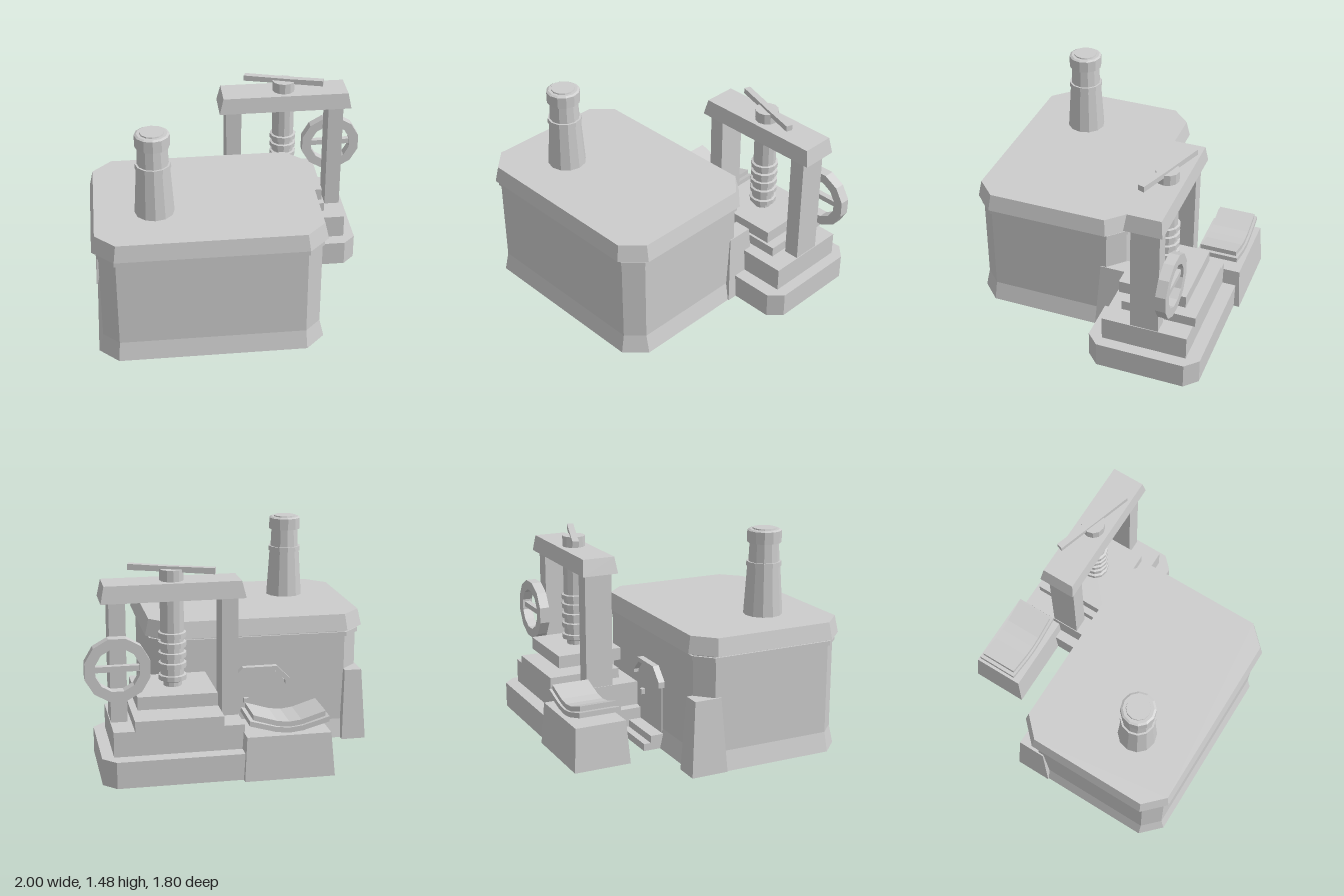
import * as THREE from 'three';

const stone = new THREE.MeshStandardMaterial({ color: 0xcccccc, flatShading: true, side: THREE.DoubleSide });
stone.name = 'plain grey';

function add(parent, name, geometry, x = 0, y = 0, z = 0) {
  const mesh = new THREE.Mesh(geometry, stone);
  mesh.name = name;
  mesh.position.set(x, y, z);
  parent.add(mesh);
  return mesh;
}

// Block given by its limits
function box(parent, name, x0, x1, y0, y1, z0, z1) {
  return add(parent, name, new THREE.BoxGeometry(x1 - x0, y1 - y0, z1 - z0),
    (x0 + x1) / 2, (y0 + y1) / 2, (z0 + z1) / 2);
}

// Shell through rectangular sections [y, x0, x1, z0, z1, cornerCut], with optional caps
function loft(sections, bottomCap = true, topCap = true) {
  const rings = sections.map(([y, x0, x1, z0, z1, c = 0]) => {
    const p = c
      ? [[x0 + c, z1], [x1 - c, z1], [x1, z1 - c], [x1, z0 + c], [x1 - c, z0], [x0 + c, z0], [x0, z0 + c], [x0, z1 - c]]
      : [[x0, z1], [x1, z1], [x1, z0], [x0, z0]];
    return p.map(([x, z]) => [x, y, z]);
  });
  const n = rings[0].length, last = rings[rings.length - 1], v = [];
  const tri = (a, b, c) => v.push(...a, ...b, ...c);
  for (let r = 0; r < rings.length - 1; r++) {
    for (let i = 0; i < n; i++) {
      const j = (i + 1) % n, a = rings[r], b = rings[r + 1];
      tri(a[i], a[j], b[j]);
      tri(a[i], b[j], b[i]);
    }
  }
  for (let i = 1; i < n - 1; i++) {
    if (topCap) tri(last[0], last[i], last[i + 1]);
    if (bottomCap) tri(rings[0][0], rings[0][i + 1], rings[0][i]);
  }
  const g = new THREE.BufferGeometry();
  g.setAttribute('position', new THREE.Float32BufferAttribute(v, 3));
  g.computeVertexNormals();
  return g;
}

function polygon(points) {
  return new THREE.Shape(points.map(([x, y]) => new THREE.Vector2(x, y)));
}

const extrude = (shape, depth) => new THREE.ExtrudeGeometry(shape, { depth, bevelEnabled: false });

// Flat pane with cut corners, centred
function pane(w, h, c) {
  const a = w / 2, b = h / 2;
  return new THREE.ShapeGeometry(polygon([[-a + c, -b], [a - c, -b], [a, -b + c], [a, b - c],
    [a - c, b], [-a + c, b], [-a, b - c], [-a, -b + c]]));
}

function lathe(profile, sides) {
  return new THREE.LatheGeometry(profile.map(([r, y]) => new THREE.Vector2(r, y)), sides);
}

function buildHouse() {
  const house = new THREE.Group();
  house.name = 'house';
  // Hollow flared skirt below closed walls
  add(house, 'skirt', loft([
    [0, -0.99, 0.527, -0.22, 0.89, 0.13],
    [0.13, -0.958, 0.497, -0.19, 0.863, 0.107],
  ], false, false));
  add(house, 'walls', loft([
    [0.13, -0.958, 0.497, -0.19, 0.863, 0.107],
    [0.79, -0.958, 0.497, -0.19, 0.863, 0.107],
  ]));
  add(house, 'trimBand', loft([
    [0.74, -0.971, 0.51, -0.203, 0.875, 0.11],
    [0.77, -0.971, 0.51, -0.203, 0.875, 0.11],
  ]));
  add(house, 'roof', loft([
    [0.786, -1, 0.536, -0.23, 0.9, 0.14],
    [0.9, -0.975, 0.51, -0.207, 0.88, 0.13],
  ]));

  // Chimney
  add(house, 'chimney', lathe([[0, 0.89], [0.132, 0.89], [0.11, 1.228], [0.118, 1.228], [0.116, 1.26],
    [0.103, 1.26], [0.097, 1.388], [0.114, 1.388], [0.114, 1.468], [0.1, 1.476], [0.08, 1.476],
    [0.078, 1.484], [0, 1.484]], 12), -0.576, 0, 0.482);

  // Corner buttresses at the back, mirrored about the middle of the house
  for (const s of [-1, 1]) {
    const mid = -0.2325, xs = (a, b) => [mid + s * a, mid + s * b].sort((p, q) => p - q);
    add(house, 'buttress', loft([
      [0, ...xs(0.597, 0.767), -0.265, -0.01],
      [0.5, ...xs(0.615, 0.735), -0.232, -0.045],
    ], false));
  }

  // Windows
  for (const s of [-1, 1]) {
    for (const z of [0.52, 0.15]) {
      const w = add(house, 'sideWindow', pane(0.212, 0.26, 0.045), s > 0 ? 0.5 : -0.961, 0.453, z);
      w.rotation.y = s * Math.PI / 2;
    }
  }
  const back = add(house, 'backWindow', pane(0.22, 0.26, 0.045), -0.675, 0.57, -0.193);
  back.rotation.y = Math.PI;

  // Back door with hood, knob and steps
  const door = new THREE.Group();
  door.name = 'door';
  door.position.set(-0.24, 0, -0.19);
  door.rotation.y = Math.PI;
  house.add(door);
  add(door, 'doorPanel', extrude(polygon([[-0.18, 0.08], [0.18, 0.08], [0.18, 0.45],
    [0.1, 0.53], [-0.1, 0.53], [-0.18, 0.45]]), 0.008));
  add(door, 'doorHood', extrude(polygon([[0.21, 0.43], [0.21, 0.47], [0.12, 0.56], [-0.12, 0.56],
    [-0.21, 0.47], [-0.21, 0.43], [-0.18, 0.43], [-0.18, 0.455], [-0.105, 0.53], [0.105, 0.53],
    [0.18, 0.455], [0.18, 0.43]]), 0.045));
  box(door, 'doorKnob', -0.11, -0.075, 0.3, 0.335, 0, 0.035);
  box(house, 'lowerStep', -0.442, -0.092, 0, 0.05, -0.34, -0.2);
  box(house, 'upperStep', -0.442, -0.092, 0.05, 0.1, -0.29, -0.18);
  return house;
}

function buildPress() {
  const press = new THREE.Group();
  press.name = 'press';
  const cx = 0.407, cz = -0.475;
  add(press, 'pressBase', loft([
    [0, -0.09, 0.912, -0.865, -0.083, 0.085],
    [0.178, -0.09, 0.912, -0.865, -0.083, 0.085],
  ], false));
  box(press, 'middleTier', -0.02, 0.834, 0.178, 0.345, -0.77, -0.18);
  box(press, 'pressBed', 0.117, 0.697, 0.345, 0.415, -0.785, -0.27);
  box(press, 'bedNeck', cx - 0.095, cx + 0.095, 0.415, 0.465, -0.57, -0.38);
  box(press, 'pressPlate', 0.147, 0.67, 0.465, 0.552, -0.707, -0.24);

  // Frame
  for (const s of [-1, 1]) {
    const x = cx + s * 0.368;
    box(press, 'column', x - 0.054, x + 0.054, 0.345, 1.16, -0.572, -0.377);
  }
  add(press, 'crossBeam', loft([
    [1.147, -0.063, 0.881, -0.605, -0.348],
    [1.26, -0.035, 0.858, -0.59, -0.363],
  ], false));

  // Screw with raised threads
  const profile = [[0, 0.54], [0.062, 0.54], [0.062, 0.58]];
  for (const y of [0.612, 0.695, 0.765, 0.835, 0.9]) {
    profile.push([0.078, y - 0.022], [0.094, y - 0.018], [0.094, y + 0.014], [0.078, y + 0.018]);
  }
  profile.push([0.08, 1.335], [0, 1.335]);
  add(press, 'screw', lathe(profile, 12), cx, 0, cz);

  // Slightly bent turning bar
  const bar = add(press, 'turningBar', extrude(polygon([[-0.285, 1.31], [0.04, 1.318], [0.285, 1.322],
    [0.285, 1.362], [0.04, 1.354], [-0.285, 1.35]]), 0.045).translate(0, 0, -0.0225), cx, 0, cz - 0.005);
  bar.rotation.y = -0.32;

  // Hand wheel
  const rim = new THREE.Shape(), hole = new THREE.Path();
  for (let i = 0; i < 12; i++) {
    const a = (i + 0.5) * Math.PI / 6, c = Math.cos(a), s = Math.sin(a);
    rim[i ? 'lineTo' : 'moveTo'](0.218 * c, 0.214 * s);
    hole[i ? 'lineTo' : 'moveTo'](0.148 * c, 0.146 * s);
  }
  rim.holes.push(hole);
  add(press, 'wheelRim', extrude(rim, 0.07), 0.789, 0.73, -0.675);
  box(press, 'wheelSpoke', 0.635, 0.943, 0.715, 0.753, -0.66, -0.62);
  return press;
}

function buildCrate() {
  const crate = new THREE.Group();
  crate.name = 'crate';
  add(crate, 'crateBody', loft([
    [0, -0.595, 0.005, -0.905, -0.51],
    [0.295, -0.57, -0.012, -0.885, -0.53],
  ], false));
  // Two bowed sheets lying on the crate
  const bowed = (half, low, thick) => {
    const top = [], under = [];
    for (let i = 0; i <= 6; i++) {
      const t = i / 3 - 1, y = low + 0.075 * Math.max(0, Math.abs(t) - 0.2);
      under.push([t * half, y]);
      top.unshift([t * half, y + thick]);
    }
    return polygon([...under, ...top]);
  };
  add(crate, 'lowerSheet', extrude(bowed(0.265, 0.3, 0.035), 0.29), -0.3, 0, -0.855);
  add(crate, 'upperSheet', extrude(bowed(0.24, 0.335, 0.035), 0.26), -0.3, 0, -0.84);
  return crate;
}

export function createModel() {
  const model = new THREE.Group();
  model.name = 'workshop';
  model.add(buildHouse(), buildPress(), buildCrate());
  return model;
}
